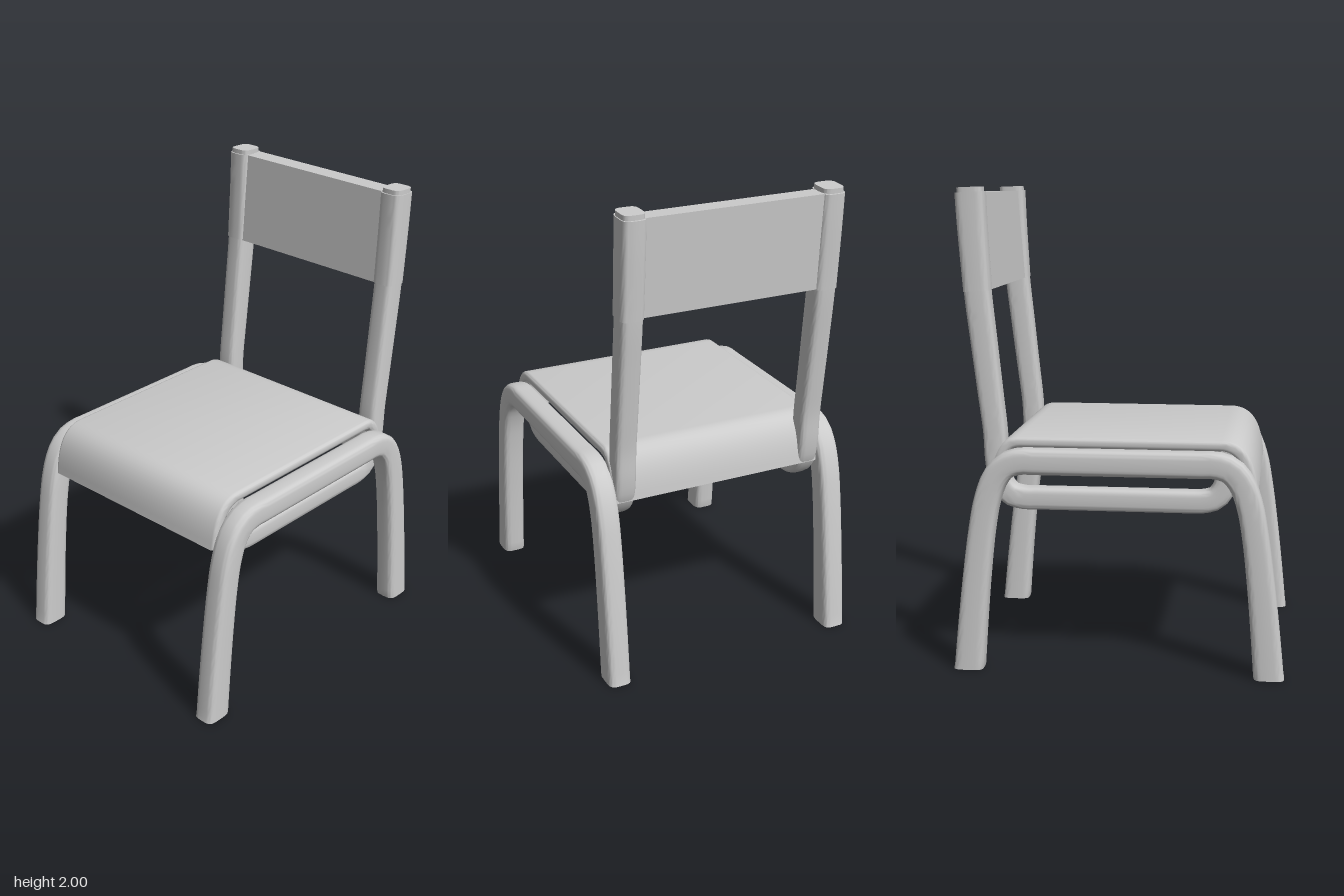
import * as THREE from 'three';
import { toCreasedNormals } from 'three/addons/utils/BufferGeometryUtils.js';

const material = new THREE.MeshStandardMaterial({ color: 0xcccccc });

// Boxy oval section of unit size: bulged sides and tightly rounded corners
const SIDES = 32;
const section = Array.from({ length: SIDES }, (_, i) => {
  const a = i / SIDES * Math.PI * 2;
  return [Math.cos(a), Math.sin(a)].map((c) => Math.sign(c) * Math.sqrt(Math.abs(c)) / 2);
});

// Sweeps the section along [z, y, depth] points at a given x, with flat caps; the floor trims it
function sweep(path, x, width, segments) {
  const points = path.map(([z, y, depth]) => new THREE.Vector3(depth, y, z));
  const curve = new THREE.CatmullRomCurve3(points, false, 'centripetal');
  const positions = [];
  const index = [];
  for (let i = 0; i <= segments; i++) {
    const p = curve.getPointAt(i / segments);
    const t = curve.getTangentAt(i / segments);
    for (const [u, v] of section) {
      const d = v * p.x;
      positions.push(x + u * width, Math.max(0, p.y - d * t.z), p.z + d * t.y);
    }
  }
  for (let i = 0; i < segments; i++) {
    for (let j = 0; j < SIDES; j++) {
      const a = i * SIDES + j, b = i * SIDES + (j + 1) % SIDES;
      index.push(a, a + SIDES, b, b, a + SIDES, b + SIDES);
    }
  }
  const last = segments * SIDES;
  for (let j = 1; j < SIDES - 1; j++) {
    index.push(0, j, j + 1, last, last + j + 1, last + j);
  }
  const geometry = new THREE.BufferGeometry();
  geometry.setAttribute('position', new THREE.Float32BufferAttribute(positions, 3));
  geometry.setIndex(index);
  return toCreasedNormals(geometry, 0.7);
}

// Extrudes a [z, y] shape across x with softened side edges
function extrudeAcross(shape, width, bevel) {
  const geometry = new THREE.ExtrudeGeometry(shape, {
    depth: width - 2 * bevel, curveSegments: 12,
    bevelEnabled: bevel > 0, bevelThickness: bevel, bevelSize: bevel, bevelOffset: -bevel, bevelSegments: 3,
  });
  geometry.translate(0, 0, bevel - width / 2);
  geometry.rotateY(-Math.PI / 2);
  return toCreasedNormals(geometry, 0.6);
}

export function createModel() {
  const chair = new THREE.Group();
  chair.name = 'chair';
  const add = (name, geometry) => {
    const mesh = new THREE.Mesh(geometry, material);
    mesh.name = name;
    chair.add(mesh);
  };

  // Leg hoop: front leg, rail beside the seat and back leg in one bent tube, thicker at the feet
  const halfHoop = [[0.629, -0.02, 0.126], [0.61, 0.2, 0.12], [0.59, 0.4, 0.114], [0.565, 0.6, 0.109],
    [0.54, 0.73, 0.108], [0.505, 0.82, 0.108], [0.46, 0.87, 0.108], [0.4, 0.889, 0.108],
    [0.35, 0.889, 0.108], [0.28, 0.889, 0.108]];
  const hoop = [...halfHoop, ...halfHoop.map(([z, y, d]) => [-z, y, d]).reverse()];

  // Back post: turns forward under the seat and hooks up behind its front lip
  const post = [[-0.612, 2, 0.106], [-0.606, 1.85, 0.107], [-0.588, 1.58, 0.108], [-0.565, 1.37, 0.105],
    [-0.54, 1.15, 0.1], [-0.523, 1, 0.097], [-0.515, 0.86, 0.096], [-0.498, 0.78, 0.095],
    [-0.46, 0.733, 0.095], [-0.4, 0.717, 0.095], [-0.34, 0.717, 0.095], [-0.25, 0.717, 0.095],
    [0.25, 0.717, 0.095], [0.3, 0.717, 0.095], [0.35, 0.719, 0.095], [0.4, 0.735, 0.095],
    [0.432, 0.78, 0.095], [0.445, 0.85, 0.095], [0.445, 0.95, 0.095]];
  const sleeve = [[-0.612, 1.98, 0.122], [-0.606, 1.85, 0.119], [-0.588, 1.58, 0.112]];

  for (const [side, s] of [['left', 1], ['right', -1]]) {
    add(`${side}LegHoop`, sweep(hoop, s * 0.52, 0.1, 80));
    add(`${side}BackPost`, sweep(post, s * 0.428, 0.094, 90));
    add(`${side}PostSleeve`, sweep(sleeve, s * 0.428, 0.102, 8));
  }

  // Seat: a bent panel with lips turned down at the front and back
  const seat = new THREE.Shape();
  seat.moveTo(0.573, 0.767);
  seat.bezierCurveTo(0.562, 0.9, 0.52, 0.98, 0.42, 0.98);
  seat.lineTo(-0.42, 0.98);
  seat.bezierCurveTo(-0.5, 0.98, -0.535, 0.9, -0.545, 0.767);
  seat.lineTo(-0.5, 0.767);
  seat.bezierCurveTo(-0.49, 0.88, -0.47, 0.935, -0.41, 0.935);
  seat.lineTo(0.41, 0.935);
  seat.bezierCurveTo(0.48, 0.935, 0.515, 0.88, 0.527, 0.767);
  seat.closePath();
  add('seat', extrudeAcross(seat, 0.96, 0.016));

  // Backrest: a slightly tilted panel between the posts
  const backrest = new THREE.Shape();
  backrest.moveTo(-0.545, 1.58);
  backrest.lineTo(-0.575, 1.98);
  backrest.lineTo(-0.658, 1.98);
  backrest.lineTo(-0.628, 1.58);
  backrest.closePath();
  add('backrest', extrudeAcross(backrest, 0.8, 0));

  return chair;
}
